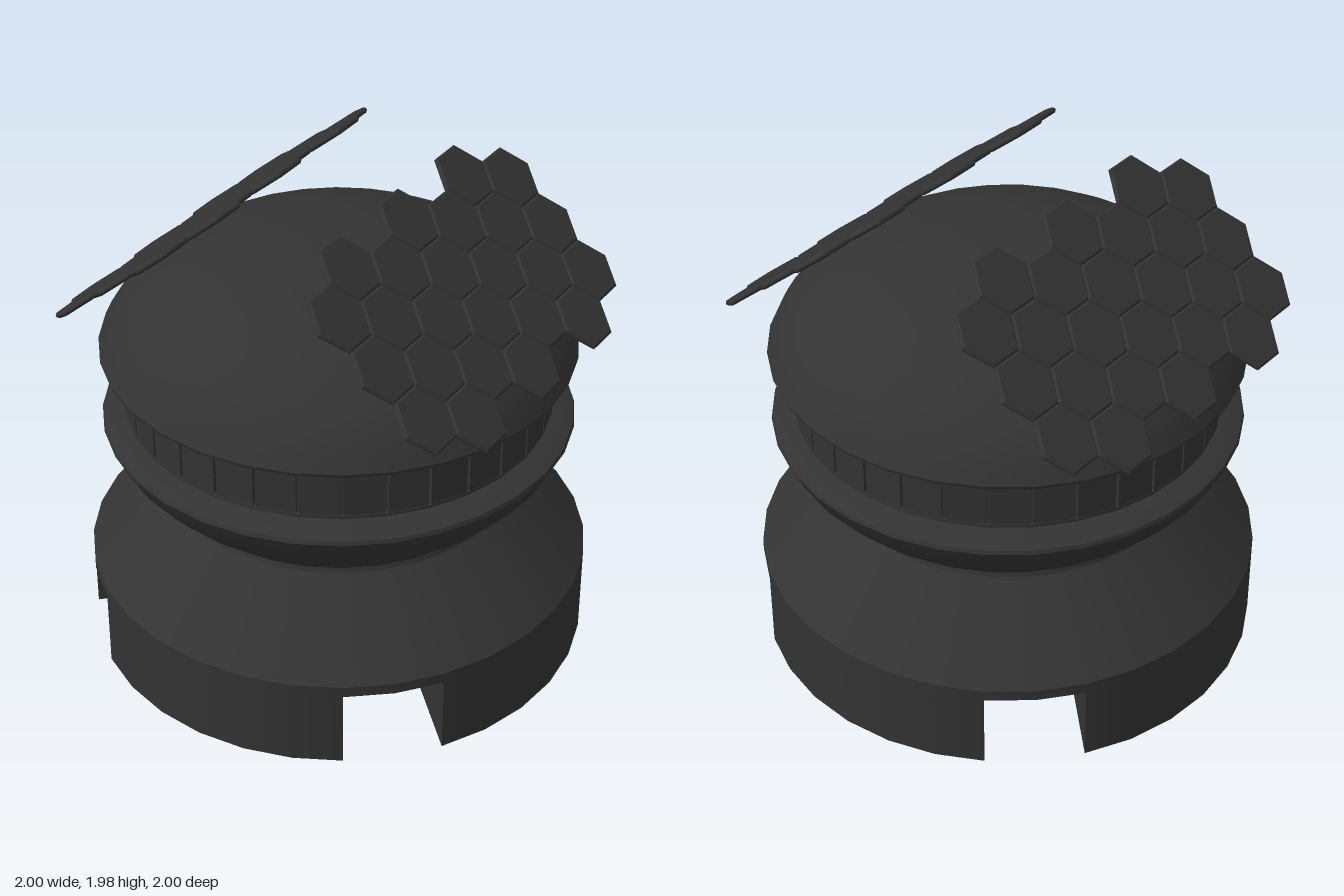
import * as THREE from 'three';
import { toCreasedNormals } from 'three/addons/utils/BufferGeometryUtils.js';

const SEG = 32;                       // sides of every round part
const STEP = (Math.PI * 2) / SEG;
const SLOT_H = 0.32;                  // height of the slots through the base

const dark = new THREE.MeshStandardMaterial({ color: 0x333333, side: THREE.DoubleSide });

function add(parent, name, geometry) {
  const mesh = new THREE.Mesh(geometry, dark);
  mesh.name = name;
  parent.add(mesh);
  return mesh;
}

// Surface of revolution, smooth around with sharp rims
function lathe(points) {
  const profile = points.map(([r, y]) => new THREE.Vector2(r, y));
  return toCreasedNormals(new THREE.LatheGeometry(profile, SEG), 0.5);
}

// Hollow base skirt: four wall quadrants separated by a diagonal cross of slots
function makeBase() {
  const base = new THREE.Group();
  base.name = 'base';
  const a = 3 * STEP;
  const ex = Math.sin(a), ez = Math.cos(a);   // end of a quadrant arc
  const cross = [];
  for (let k = 0; k < 4; k++) {
    const quadrant = new THREE.Group();
    quadrant.name = 'baseQuadrant';
    quadrant.rotation.y = (k * Math.PI) / 2;
    const arc = add(quadrant, 'outerWall',
      new THREE.CylinderGeometry(1, 1, SLOT_H, 6, 1, true, -a, 2 * a));
    arc.position.y = SLOT_H / 2;
    for (const s of [-1, 1]) {
      const wall = add(quadrant, 'slotWall', new THREE.PlaneGeometry(ex * Math.SQRT2, SLOT_H));
      wall.position.set((s * ex) / 2, SLOT_H / 2, ez - ex / 2);
      wall.rotation.y = s > 0 ? Math.PI * 0.75 : -Math.PI * 0.75;
    }
    base.add(quadrant);

    // Outline of the slot ceiling, one quadrant at a time
    const c = (k * Math.PI) / 2;
    for (const [r, t] of [[1, c - a], [ez - ex, c], [1, c + a], [1, c + Math.PI / 4]]) {
      cross.push(new THREE.Vector2(r * Math.sin(t), r * Math.cos(t)));
    }
  }
  const ceiling = add(base, 'slotCeiling', new THREE.ShapeGeometry(new THREE.Shape(cross)));
  ceiling.rotation.x = Math.PI / 2;
  ceiling.position.y = SLOT_H;
  return base;
}

// Ring of flat window panels under the dome
function makeWindowRing() {
  const ring = new THREE.Group();
  ring.name = 'windowRing';
  const pane = new THREE.BoxGeometry(0.154, 0.18, 0.03);
  for (let i = 0; i < SEG; i++) {
    const holder = new THREE.Group();
    holder.rotation.y = (i + 0.5) * STEP;
    add(holder, 'windowPanel', pane).position.set(0, 1.142, 0.823);
    ring.add(holder);
  }
  return ring;
}

// Sloping array of bevelled hexagon tiles in staggered columns
function makeHexArray() {
  const R = 0.135, bevel = 0.008;
  const corners = [];
  for (let i = 0; i < 6; i++) {
    const t = Math.PI / 2 + (i * Math.PI) / 3;
    corners.push(new THREE.Vector2(R * Math.cos(t), R * Math.sin(t)));
  }
  const tile = new THREE.ExtrudeGeometry(new THREE.Shape(corners), {
    depth: 0.008, bevelEnabled: true, bevelThickness: bevel, bevelSize: bevel,
    bevelOffset: -bevel, bevelSegments: 1,
  });
  tile.center();
  tile.rotateX(-Math.PI / 2);

  const slope = new THREE.Group();
  slope.position.set(0.573, 1.675, 0);
  slope.rotation.z = -THREE.MathUtils.degToRad(39.8);
  for (let col = -3; col <= 3; col++) {
    const rows = col % 2 === 0 ? 4 : 3;
    for (let row = 0; row < rows; row++) {
      add(slope, 'hexTile', tile)
        .position.set((row - (rows - 1) / 2) * Math.sqrt(3) * R, 0, col * 1.5 * R);
    }
  }
  const array = new THREE.Group();
  array.add(slope);
  return array;
}

export function createModel() {
  const model = new THREE.Group();
  model.name = 'domedStation';

  model.add(makeBase());

  // Skirt band, cone and rounded waist
  add(model, 'lowerCone', lathe([
    [1, SLOT_H], [1, 0.365], [0.73, 0.655], [0.705, 0.68], [0.7, 0.7],
  ]));

  // Bowl with its lipped rim
  add(model, 'bowl', lathe([
    [0.7, 0.7], [0.715, 0.725], [0.8, 0.79], [0.88, 0.88], [0.93, 0.98],
    [0.925, 0.995], [0.84, 1.035], [0.825, 1.035],
  ]));

  // Drum behind the windows, with a frame band above and below
  add(model, 'drum', lathe([
    [0.84, 1.03], [0.84, 1.048], [0.825, 1.048], [0.825, 1.236], [0.84, 1.236], [0.84, 1.245],
  ]));
  model.add(makeWindowRing());

  // Dome with its overhanging rim
  add(model, 'dome', lathe([
    [0.82, 1.24], [0.845, 1.242], [0.925, 1.282], [0.93, 1.297], [0.905, 1.35],
    [0.87, 1.41], [0.8, 1.49], [0.68, 1.572], [0.54, 1.638], [0.37, 1.688],
    [0.18, 1.713], [0, 1.72],
  ]));

  // Hexagon arrays on both sides
  const left = makeHexArray();
  left.name = 'leftHexArray';
  const right = makeHexArray();
  right.name = 'rightHexArray';
  right.rotation.y = Math.PI;
  model.add(left, right);

  return model;
}
